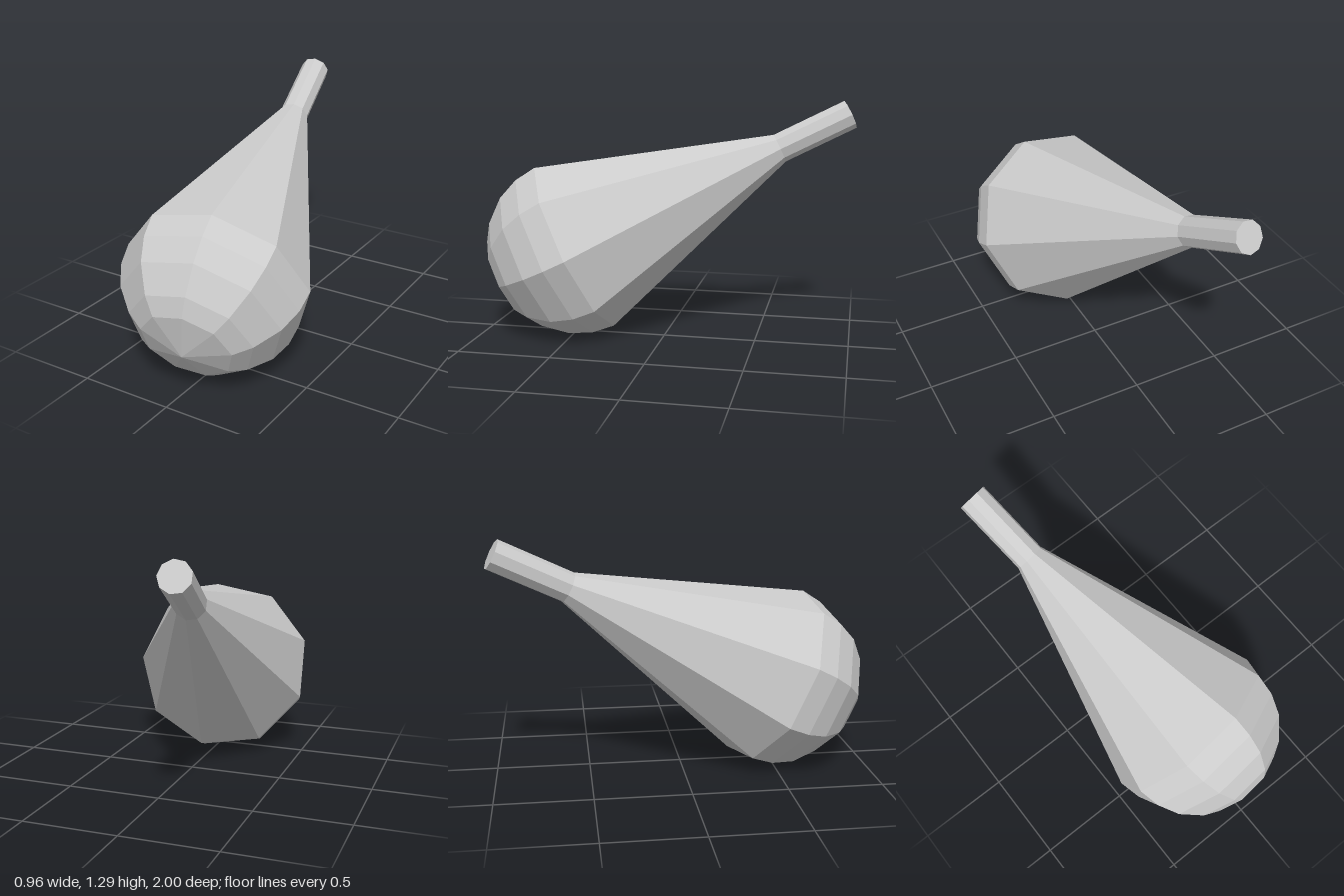
import * as THREE from 'three';

const SIDES = 9;
const RADIUS = 0.494;   // round end
const NECK_R = 0.081;   // handle
const NECK_AT = 1.735;  // distances along the axis from the front pole
const END_AT = 2.153;

export function createModel() {
  const group = new THREE.Group();
  const material = new THREE.MeshStandardMaterial({ color: 0xcccccc, flatShading: true });

  const addLathe = (name, points) => {
    const mesh = new THREE.Mesh(new THREE.LatheGeometry(points, SIDES), material);
    mesh.name = name;
    group.add(mesh);
  };

  // Half-sphere rings at even depths, with one extra ring near the pole
  const rings = [1, 0.875, 0.75, 0.5, 0.25, 0].map(
    (k) => new THREE.Vector2(RADIUS * Math.sqrt(1 - k * k), RADIUS * (1 - k))
  );

  // Rounded bulb tapering straight to the neck
  addLathe('bulb', [...rings, new THREE.Vector2(NECK_R, NECK_AT)]);

  // Straight handle with a flat end
  addLathe('handle', [
    new THREE.Vector2(NECK_R, NECK_AT),
    new THREE.Vector2(NECK_R, END_AT),
    new THREE.Vector2(0, END_AT),
  ]);

  // Tilt the axis up and back, turning one ridge towards the top
  const axis = new THREE.Vector3(-0.156, 0.439, -0.885).normalize();
  const ridge = new THREE.Vector3(0.107, 0.438, 0.198);
  ridge.addScaledVector(axis, -ridge.dot(axis)).normalize();
  const side = new THREE.Vector3().crossVectors(axis, ridge);
  group.quaternion.setFromRotationMatrix(new THREE.Matrix4().makeBasis(side, axis, ridge));
  group.position.set(0.06, 0.27, 0.94);

  return group;
}
